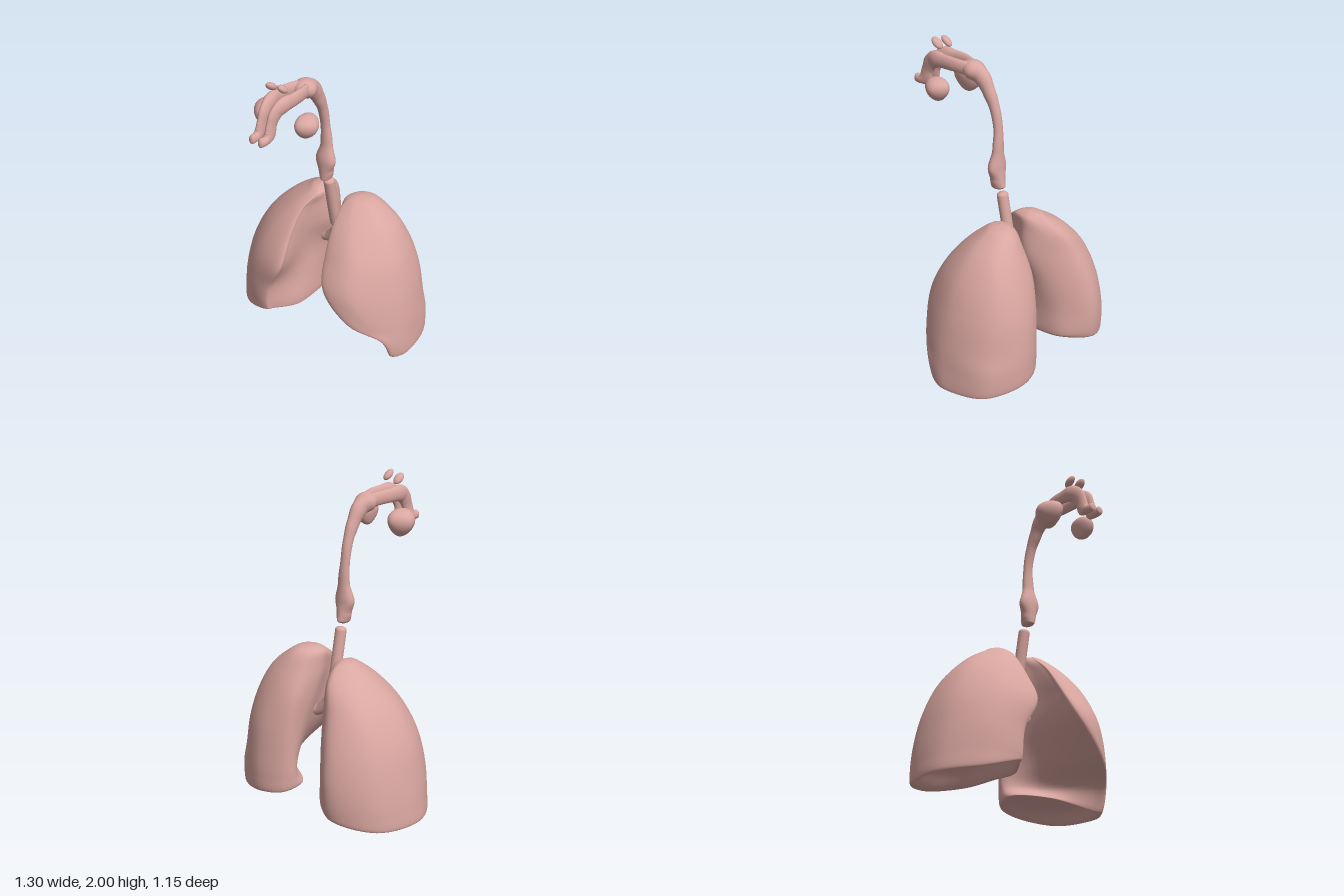
import * as THREE from 'three';

const V = (x, y, z) => new THREE.Vector3(x, y, z);
const material = new THREE.MeshStandardMaterial({ color: 0xd9a6a0 });

// Closed skin over a list of rings that all have the same number of points
function skin(rings, flip = false) {
  const n = rings[0].length, pos = [], idx = [];
  rings.forEach(r => r.forEach(p => pos.push(p.x, p.y, p.z)));
  for (let i = 0; i < rings.length - 1; i++) {
    for (let j = 0; j < n; j++) {
      const a = i * n + j, b = i * n + (j + 1) % n, c = a + n, d = b + n;
      if (flip) idx.push(a, c, b, b, c, d);
      else idx.push(a, b, c, b, d, c);
    }
  }
  const g = new THREE.BufferGeometry();
  g.setAttribute('position', new THREE.Float32BufferAttribute(pos, 3));
  g.setIndex(idx);
  g.computeVertexNormals();
  return g;
}

// Tube through stations [x, y, z, half width along side, half depth], with rounded ends
function sweep(stations, { side = V(1, 0, 0), end = 0.06, steps = 60, sides = 24 } = {}) {
  const path = new THREE.CatmullRomCurve3(stations.map(s => V(s[0], s[1], s[2])));
  const last = stations.length - 1, rings = [];
  for (let i = 0; i <= steps; i++) {
    const t = (1 - Math.cos(Math.PI * i / steps)) / 2;
    const k = Math.min(last - 1, Math.floor(t * last));
    const f = THREE.MathUtils.smoothstep(t * last - k, 0, 1);
    const d = Math.min(1, Math.min(t, 1 - t) / end);
    const round = Math.sqrt(Math.max(0, 1 - (1 - d) ** 2));
    const rs = THREE.MathUtils.lerp(stations[k][3], stations[k + 1][3], f) * round;
    const rn = THREE.MathUtils.lerp(stations[k][4], stations[k + 1][4], f) * round;
    const p = path.getPoint(t), T = path.getTangent(t);
    const N = T.clone().cross(side).normalize(), S = N.clone().cross(T);
    rings.push(Array.from({ length: sides }, (_, j) => {
      const a = j / sides * Math.PI * 2;
      return p.clone().addScaledVector(S, rs * Math.cos(a)).addScaledVector(N, rn * Math.sin(a));
    }));
  }
  return skin(rings);
}

// Lung: x,z outlines stacked from top to bottom, closed by an apex and a hollow dome below.
// Outline order: front margin, front-outer, outer, back-outer, back, back-inner, inner, hollow
function lung(sign, top, levels, rim, dome) {
  const rows = levels.map(([y, ...o]) =>
    Array.from({ length: 8 }, (_, j) => V(sign * o[2 * j], y, o[2 * j + 1])));
  const base = rows[rows.length - 1];
  base.forEach((p, j) => { p.y = rim[j]; });
  const scaled = (row, s, y) => {
    const c = row.reduce((m, p) => m.add(p), V(0, 0, 0)).multiplyScalar(1 / 8);
    return row.map(p => {
      const q = p.clone().lerp(c, 1 - s);
      if (y !== undefined) q.y = y;
      return q;
    });
  };
  rows.unshift(scaled(rows[0], 0.001, top), scaled(rows[0], 0.6, top - 0.012));
  for (const [s, h] of [[0.93, 0.03], [0.7, 0.62], [0.35, 0.93], [0.001, 1]]) {
    const r = scaled(base, s);
    r.forEach(p => { p.y = THREE.MathUtils.lerp(p.y, dome, h); });
    rows.push(r);
  }
  // Smooth down the columns, then around each ring; a point close to the front margin sharpens it
  const down = 90, around = 72;
  const columns = rows[0].map((_, j) => new THREE.CatmullRomCurve3(rows.map(r => r[j])));
  const rings = [];
  for (let i = 0; i <= down; i++) {
    const pts = columns.map(c => c.getPoint(i / down));
    pts.push(pts[7].clone().lerp(pts[0], 0.8));
    const ring = new THREE.CatmullRomCurve3(pts, true);
    rings.push(Array.from({ length: around }, (_, j) => ring.getPoint(j / around)));
  }
  return skin(rings, sign > 0);
}

// Sinus: sphere with a flat inner side, narrower outwards and downwards
function sinus(rx, ry, rz, sign) {
  const g = new THREE.SphereGeometry(1, 32, 24), p = g.attributes.position;
  for (let i = 0; i < p.count; i++) {
    const x = p.getX(i), y = p.getY(i), z = p.getZ(i);
    const w = 0.95 + 0.24 * y;
    p.setXYZ(i, rx * (x * w - sign * 0.25 * y * y), ry * y, rz * z * w * (1 - 0.3 * x * sign));
  }
  g.computeVertexNormals();
  return g;
}

export function createModel() {
  const group = new THREE.Group();
  const add = (name, geometry) => {
    const mesh = new THREE.Mesh(geometry, material);
    mesh.name = name;
    group.add(mesh);
    return mesh;
  };

  // Lungs
  add('rightLung', lung(-1, 0.965, [
    [0.93, .09, -.10, .15, -.10, .21, -.17, .20, -.26, .14, -.31, .09, -.27, .06, -.22, .07, -.15],
    [0.85, .13, 0, .22, -.02, .33, -.16, .29, -.34, .18, -.40, .10, -.34, .05, -.21, .10, -.10],
    [0.70, .14, .11, .31, .08, .46, -.10, .42, -.38, .25, -.47, .12, -.39, .04, -.23, .12, -.07],
    [0.50, .14, .21, .39, .15, .56, -.08, .51, -.41, .30, -.54, .14, -.43, .08, -.28, .145, -.08],
    [0.30, .24, .21, .45, .16, .61, -.08, .56, -.42, .32, -.575, .15, -.44, .11, -.26, .15, -.03],
    [0.13, .26, .21, .475, .15, .635, -.08, .58, -.42, .33, -.57, .15, -.44, .12, -.22, .145, .02],
    [0.04, .26, .20, .475, .145, .64, -.08, .58, -.41, .33, -.555, .16, -.42, .13, -.20, .15, .02],
  ], [.10, .035, .02, .035, .085, .11, .11, .09], 0.27));
  add('leftLung', lung(1, 0.99, [
    [0.95, .12, -.11, .20, -.10, .29, -.17, .28, -.28, .21, -.32, .13, -.29, .09, -.22, .09, -.16],
    [0.85, .13, 0, .27, 0, .41, -.15, .38, -.33, .25, -.385, .12, -.34, .08, -.21, .11, -.11],
    [0.70, .15, .10, .34, .10, .51, -.13, .45, -.38, .28, -.45, .12, -.41, .09, -.27, .135, -.11],
    [0.50, .21, .20, .40, .17, .58, -.12, .51, -.41, .31, -.51, .14, -.46, .11, -.36, .165, -.17],
    [0.30, .40, .18, .52, .10, .62, -.12, .55, -.41, .33, -.535, .155, -.48, .12, -.40, .25, -.21],
    [0.17, .57, .05, .61, -.02, .635, -.14, .57, -.42, .33, -.54, .155, -.48, .12, -.39, .31, -.25],
    [0.05, .59, -.02, .62, -.06, .64, -.15, .57, -.41, .33, -.53, .16, -.47, .125, -.34, .33, -.19],
  ], [.02, .01, .01, .02, .055, .075, .105, .10], 0.12));

  // Windpipe and its fork
  add('windpipe', sweep([
    [.02, .72, -.165, .036, .035], [.02, .92, -.125, .036, .035], [.02, 1.112, -.088, .036, .035],
  ], { end: 0.06 }));
  const z = V(0, 0, 1);
  add('bronchi', sweep([
    [-.11, .555, -.20, .035, .038], [-.06, .575, -.195, .034, .034], [-.015, .62, -.19, .034, .036],
    [.02, .655, -.185, .035, .045], [.055, .62, -.19, .034, .036], [.10, .575, -.195, .034, .034],
    [.145, .555, -.20, .035, .038],
  ], { side: z, end: 0.06 }));

  // Throat, curving forwards at the top
  add('throat', sweep([
    [.025, 1.125, -.065, .032, .05], [.025, 1.19, -.058, .046, .047], [.025, 1.27, -.052, .07, .044],
    [.025, 1.39, -.06, .04, .03], [.018, 1.52, -.055, .031, .027], [.018, 1.64, -.03, .031, .032],
    [.02, 1.74, .015, .036, .043], [.02, 1.82, .07, .046, .055], [.022, 1.852, .13, .07, .06],
    [.022, 1.865, .21, .045, .035],
  ], { end: 0.035, steps: 80 }));

  // Paired nasal passages, frontal sinuses and cheek sinuses
  for (const s of [-1, 1]) {
    const side = s < 0 ? 'right' : 'left', at = d => .024 + s * d;
    add(side + 'NasalPassage', sweep([
      [at(.02), 1.855, .14, .025, .045], [at(.045), 1.868, .22, .022, .043],
      [at(.05), 1.87, .31, .024, .045], [at(.044), 1.868, .39, .032, .053],
      [at(.036), 1.835, .44, .026, .05], [at(.034), 1.775, .472, .021, .042],
      [at(.035), 1.72, .49, .022, .045], [at(.035), 1.70, .53, .024, .028],
      [at(.03), 1.705, .575, .02, .03],
    ], { end: 0.04, steps: 70 }));

    const frontal = add(side + 'FrontalSinus', new THREE.SphereGeometry(1, 24, 16));
    frontal.scale.set(.028, .021, .044);
    frontal.position.set(at(.042), s < 0 ? 1.96 : 1.972, .38);
    frontal.rotation.set(-.65, 0, s * -.3);

    const r = s < 0 ? [.075, .087, .1] : [.064, .074, .082];
    const cheek = add(side + 'CheekSinus', sinus(...r, s));
    cheek.position.set(s < 0 ? -.133 : .178, s < 0 ? 1.717 : 1.728, .295);
  }
  return group;
}
